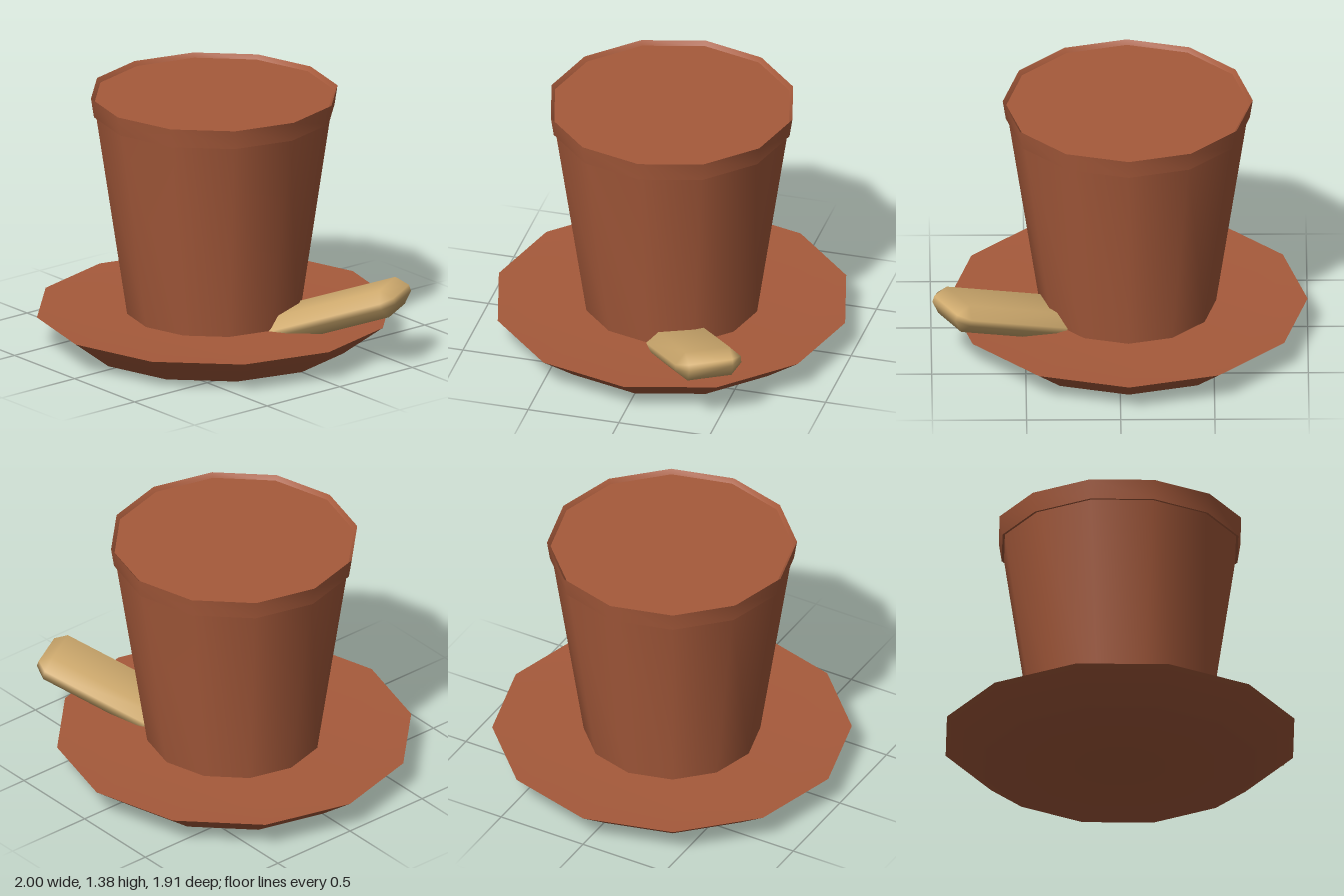
import * as THREE from 'three';
import { mergeVertices, toCreasedNormals } from 'three/addons/utils/BufferGeometryUtils.js';
import { ConvexGeometry } from 'three/addons/geometries/ConvexGeometry.js';

const SIDES = 12;

// Twelve-sided turned form; edges sharper than the crease angle stay crisp.
function turned(name, profile, material, crease) {
  const points = profile.map(([r, y]) => new THREE.Vector2(r, y));
  const geometry = toCreasedNormals(new THREE.LatheGeometry(points, SIDES), crease);
  const mesh = new THREE.Mesh(geometry, material);
  mesh.name = name;
  mesh.position.x = -0.045;
  return mesh;
}

// Bar along x from start to end with every edge bevelled, softly shaded.
function bevelledBar(start, end, halfHeight, halfWidth, bevel) {
  const points = [];
  const mid = (start + end) / 2, halfLength = (end - start) / 2;
  for (const sx of [-1, 1]) for (const sy of [-1, 1]) for (const sz of [-1, 1]) {
    for (let face = 0; face < 3; face++) {
      points.push(new THREE.Vector3(
        mid + sx * (halfLength - (face === 0 ? 0 : bevel)),
        sy * (halfHeight - (face === 1 ? 0 : bevel)),
        sz * (halfWidth - (face === 2 ? 0 : bevel))
      ));
    }
  }
  const hull = new ConvexGeometry(points);
  hull.deleteAttribute('normal');
  const geometry = mergeVertices(hull, 1e-4);
  geometry.computeVertexNormals();
  return geometry;
}

export function createModel() {
  const model = new THREE.Group();
  model.name = 'pottedStub';

  const clay = new THREE.MeshStandardMaterial({ color: 0xa65a3b });
  clay.name = 'clay';
  const tan = new THREE.MeshStandardMaterial({ color: 0xd2ad70 });
  tan.name = 'tan';

  // Flared dish with a very shallow well
  model.add(turned('saucer', [
    [0, 0], [0.73, 0], [0.955, 0.17], [0.77, 0.163], [0, 0.163]
  ], clay, 0.7));

  // Tapered body
  model.add(turned('potBody', [[0.468, 0.155], [0.636, 1.28]], clay, 0.6));

  // Collar with a slightly sunken top
  model.add(turned('potRim', [
    [0.62, 1.275], [0.648, 1.275], [0.664, 1.38], [0.645, 1.357], [0, 1.357]
  ], clay, 0.6));

  // Bar leaning up and outward from the foot of the pot
  const bar = new THREE.Mesh(bevelledBar(0.3, 1.12, 0.077, 0.18, 0.06), tan);
  bar.name = 'leaningBar';
  bar.rotation.set(0, Math.PI / 6, Math.PI / 9, 'YXZ');
  bar.position.set(0.019, 0.01, 0.038);
  model.add(bar);

  return model;
}
